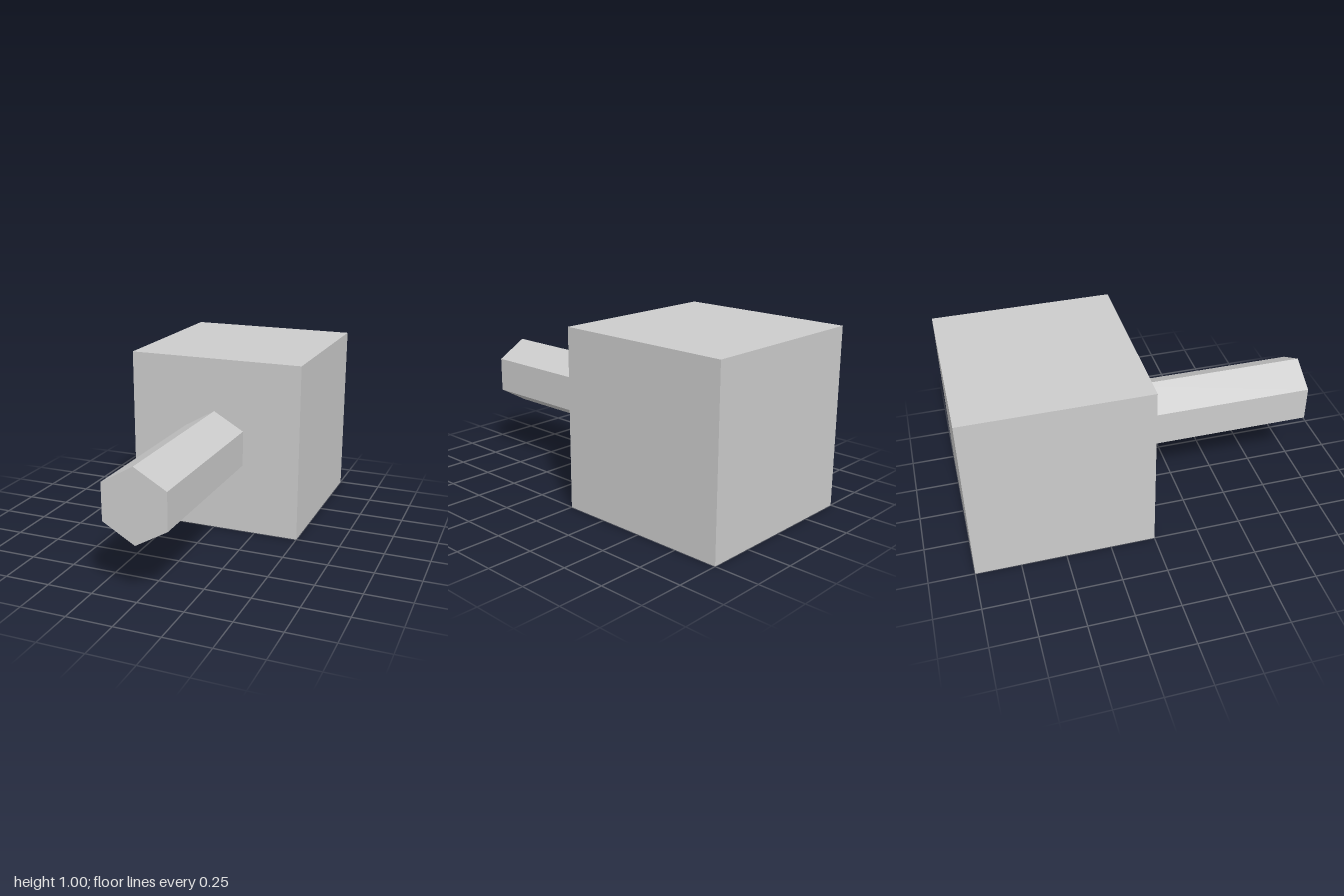
import * as THREE from 'three';

export function createModel() {
  const group = new THREE.Group();
  const material = new THREE.MeshStandardMaterial({ color: 0xcccccc, flatShading: true });

  // Cube-shaped head filling the back half
  const head = new THREE.Mesh(new THREE.BoxGeometry(1, 1, 1), material);
  head.name = 'head';
  head.position.set(0, 0.5, -0.5);
  group.add(head);

  // Hexagonal shaft pointing forward, with corners at its top and bottom
  const shaft = new THREE.Mesh(new THREE.CylinderGeometry(0.2, 0.2, 1, 6), material);
  shaft.name = 'shaft';
  shaft.rotation.x = Math.PI / 2;
  shaft.position.set(0, 0.5, 0.5);
  group.add(shaft);

  return group;
}
